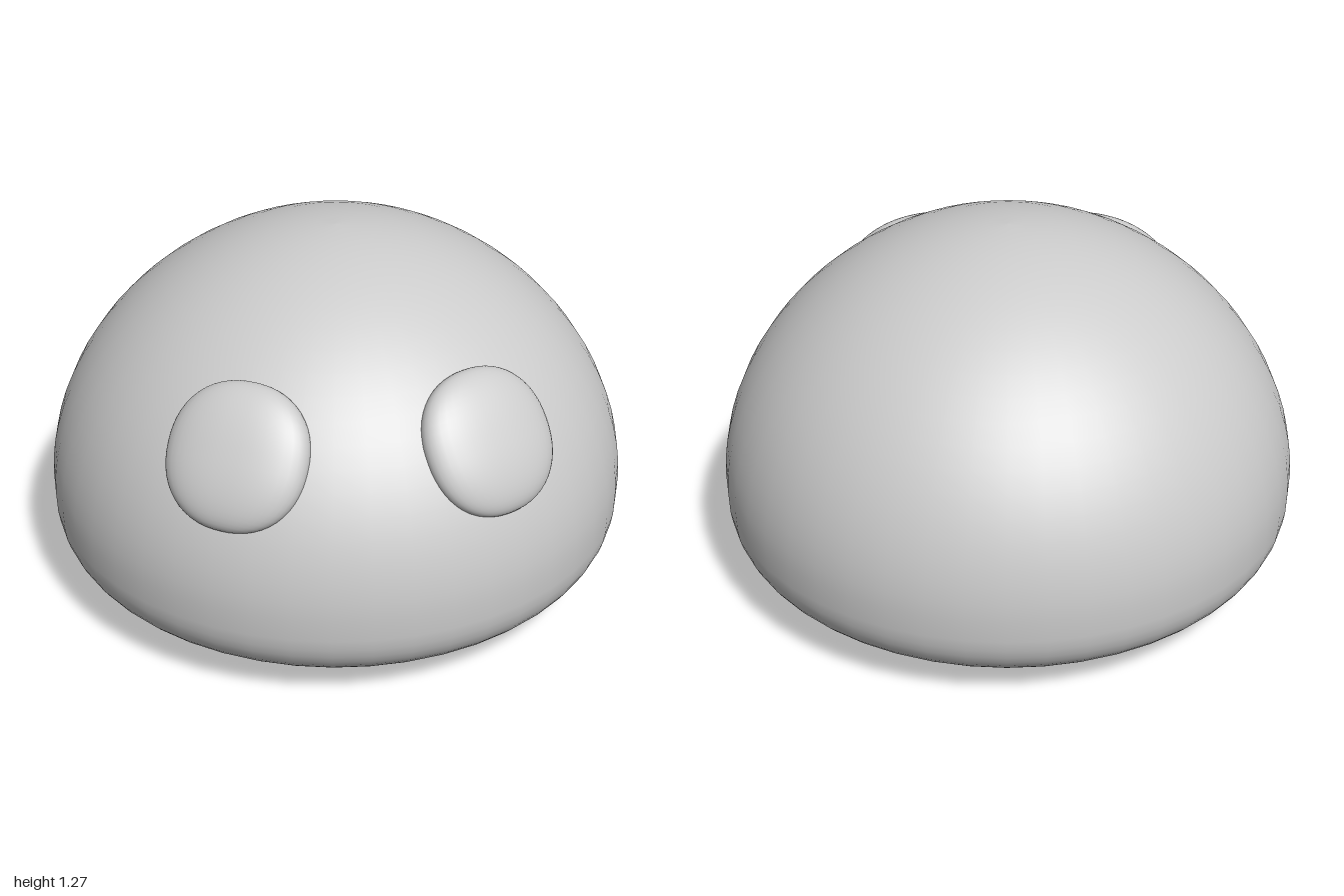
import * as THREE from 'three';

const material = new THREE.MeshStandardMaterial({ color: 0xcccccc });
const WAIST = 0.37, TOP = 1.275;
const spow = (v, e) => Math.sign(v) * Math.abs(v) ** e;

// Squashed dome: softly flattened base below the waist, rounded crown above
function createBody() {
  const profile = [];
  const arc = (from, to, steps, height, power) => {
    for (let i = 0; i <= steps; i++) {
      const a = from + (to - from) * i / steps;
      const r = Math.abs(Math.cos(a)) ** (2 / power);
      profile.push(new THREE.Vector2(r < 1e-6 ? 0 : r, WAIST + height * spow(Math.sin(a), 2 / power)));
    }
  };
  arc(-Math.PI / 2, 0, 20, WAIST, 3.2);
  profile.pop();
  arc(0, Math.PI / 2, 20, TOP - WAIST, 1.9);
  const body = new THREE.Mesh(new THREE.LatheGeometry(profile, 48), material);
  body.name = 'body';
  return body;
}

// Pillow-shaped disc: a unit sphere pushed out to a slightly squarish one, then flattened
function createEyeGeometry(radius, thickness, power) {
  const geometry = new THREE.SphereGeometry(1, 40, 28);
  const pos = geometry.attributes.position, nor = geometry.attributes.normal;
  const p = new THREE.Vector3(), n = new THREE.Vector3();
  for (let i = 0; i < pos.count; i++) {
    p.fromBufferAttribute(pos, i);
    const sum = Math.abs(p.x) ** power + Math.abs(p.y) ** power + Math.abs(p.z) ** power;
    p.multiplyScalar(sum ** (-1 / power));
    n.set(spow(p.x, power - 1) / radius, spow(p.y, power - 1) / radius, spow(p.z, power - 1) / thickness).normalize();
    pos.setXYZ(i, p.x * radius, p.y * radius, p.z * thickness);
    nor.setXYZ(i, n.x, n.y, n.z);
  }
  return geometry;
}

export function createModel() {
  const model = new THREE.Group();
  model.name = 'domeCreature';
  model.add(createBody());

  // Mirrored eyes, each facing outward along the surface of the dome
  const eyeGeometry = createEyeGeometry(0.236, 0.085, 2.2);
  for (const side of [1, -1]) {
    const eye = new THREE.Mesh(eyeGeometry, material);
    eye.name = side > 0 ? 'leftEye' : 'rightEye';
    eye.position.set(side * 0.393, 0.825, 0.715);
    eye.rotation.set(-0.59, side * 0.51, 0, 'YXZ');
    model.add(eye);
  }
  return model;
}
